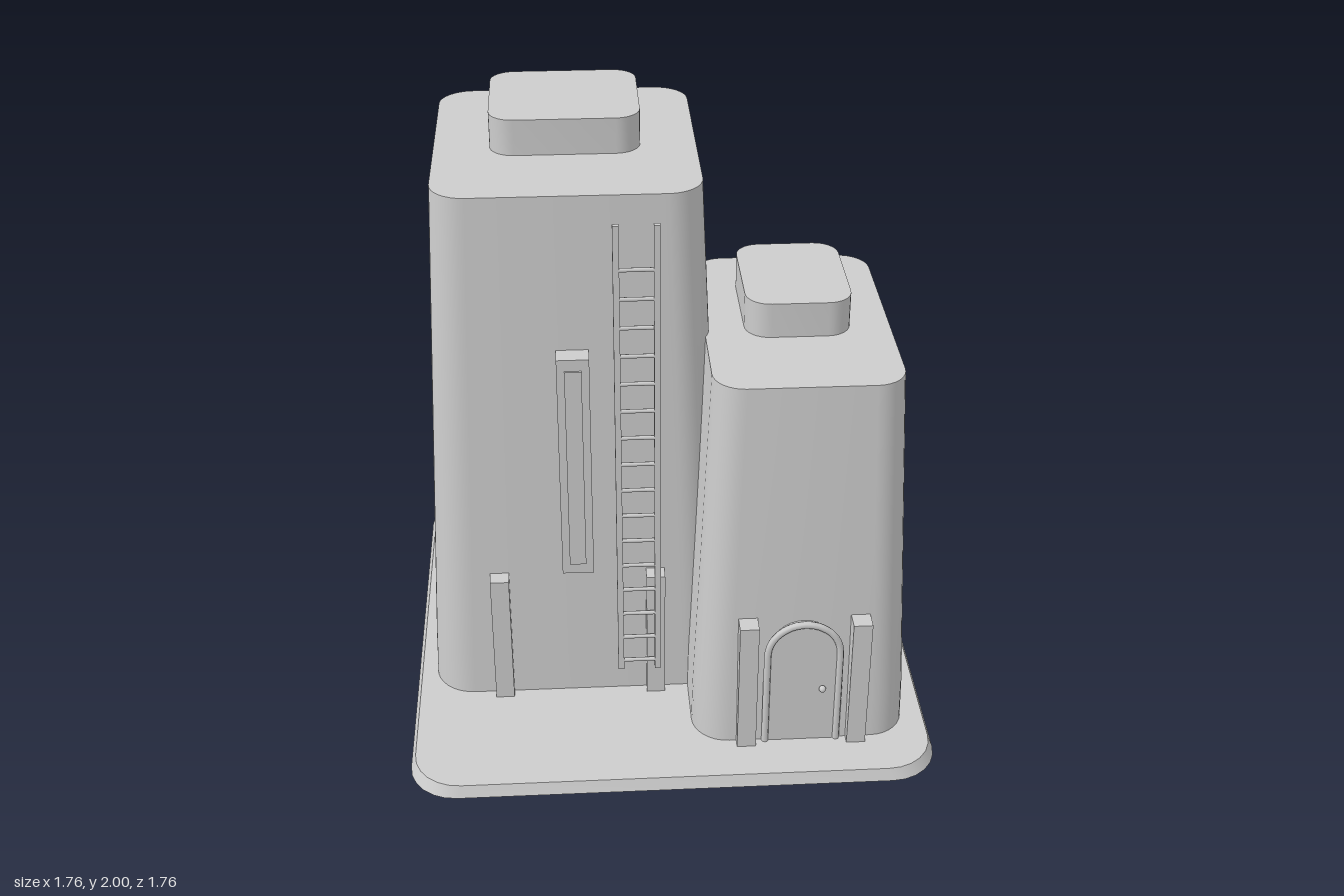
import * as THREE from 'three';
import { toCreasedNormals } from 'three/addons/utils/BufferGeometryUtils.js';

const plaster = new THREE.MeshStandardMaterial({ color: 0xcccccc });
plaster.name = 'plaster';

function add(parent, name, geometry, x = 0, y = 0, z = 0) {
  const mesh = new THREE.Mesh(geometry, plaster);
  mesh.name = name;
  mesh.position.set(x, y, z);
  parent.add(mesh);
  return mesh;
}

// Rounded rectangle (half sizes) drawn up through levels of [height, scale]
function roundedBlock(hx, hz, r, levels, segments = 4) {
  const s = new THREE.Shape();
  s.absarc(hx - r, hz - r, r, 0, Math.PI / 2);
  s.absarc(r - hx, hz - r, r, Math.PI / 2, Math.PI);
  s.absarc(r - hx, r - hz, r, Math.PI, Math.PI * 1.5);
  s.absarc(hx - r, r - hz, r, Math.PI * 1.5, Math.PI * 2);
  const steps = levels.length - 1;
  const g = new THREE.ExtrudeGeometry(s, { depth: steps, steps, bevelEnabled: false, curveSegments: segments });
  g.rotateX(-Math.PI / 2);
  const p = g.attributes.position;
  for (let i = 0; i < p.count; i++) {
    const [y, k] = levels[Math.round(p.getY(i))];
    p.setXYZ(i, p.getX(i) * k, y, p.getZ(i) * k);
  }
  return toCreasedNormals(g, 0.6);
}

// Arched outline, half width w, from the floor to the springing line
function archPoints(w, floor, spring) {
  const pts = [new THREE.Vector2(w, floor)];
  for (let i = 0; i <= 16; i++) {
    const a = (Math.PI * i) / 16;
    pts.push(new THREE.Vector2(Math.cos(a) * w, spring + Math.sin(a) * w));
  }
  pts.push(new THREE.Vector2(-w, floor));
  return pts;
}

export function createModel() {
  const model = new THREE.Group();
  model.name = 'desertHouse';

  add(model, 'basePlate', roundedBlock(0.88, 0.88, 0.16, [[0, 1], [0.04, 0.982]], 3));

  // Tapering towers with their roof caps
  const taper = (top) => [[0.03, 1], [0.2, 0.99], [top, 0.84]];
  add(model, 'tallTower', roundedBlock(0.505, 0.545, 0.135, taper(1.88)), -0.305, 0, -0.155);
  add(model, 'tallTowerCap', roundedBlock(0.243, 0.222, 0.08, [[1.87, 1], [2, 1]]), -0.305, 0, -0.245);
  add(model, 'shortTower', roundedBlock(0.36, 0.545, 0.12, taper(1.36)), 0.43, 0, 0.15);
  add(model, 'shortTowerCap', roundedBlock(0.172, 0.222, 0.08, [[1.35, 1], [1.48, 1]]), 0.43, 0, 0.06);

  // Square posts standing against the front walls
  for (const [x, z] of [[-0.568, 0.39], [-0.042, 0.39], [0.245, 0.695], [0.615, 0.695]]) {
    add(model, 'wallPost', new THREE.BoxGeometry(0.063, 0.49, 0.066), x, 0.285, z);
  }

  // Tall slit window: frame with a thin pane
  const slit = new THREE.Group();
  slit.name = 'slitWindow';
  slit.position.set(-0.302, 0.95, 0.345);
  model.add(slit);
  add(slit, 'windowFrame', new THREE.BoxGeometry(0.105, 0.82, 0.1));
  add(slit, 'windowPane', new THREE.BoxGeometry(0.055, 0.74, 0.008), 0, 0, 0.053);

  // Ladder
  const ladder = new THREE.Group();
  ladder.name = 'ladder';
  ladder.position.set(-0.1, 0, 0.436);
  model.add(ladder);
  for (const side of [-1, 1]) {
    add(ladder, 'ladderRail', new THREE.BoxGeometry(0.02, 1.68, 0.016), side * 0.063, 1, 0);
  }
  const rung = new THREE.CylinderGeometry(0.007, 0.007, 0.126, 8).rotateZ(Math.PI / 2);
  for (let i = 0; i < 16; i++) add(ladder, 'ladderRung', rung, 0, 0.195 + i * 0.0997, 0);

  // Arched door
  const door = new THREE.Group();
  door.name = 'archedDoor';
  door.position.set(0.43, 0, 0.7);
  model.add(door);
  const panel = new THREE.ExtrudeGeometry(new THREE.Shape(archPoints(0.115, 0.04, 0.4)), { depth: 0.05, bevelEnabled: false });
  add(door, 'doorPanel', toCreasedNormals(panel, 0.6), 0, 0, -0.05);
  const path = new THREE.CurvePath();
  const pts = archPoints(0.12, 0.04, 0.4).map((p) => new THREE.Vector3(p.x, p.y, 0));
  for (let i = 1; i < pts.length; i++) path.add(new THREE.LineCurve3(pts[i - 1], pts[i]));
  add(door, 'doorFrame', new THREE.TubeGeometry(path, 72, 0.012, 8), 0, 0, -0.002);
  add(door, 'doorKnob', new THREE.SphereGeometry(0.012, 12, 8), 0.065, 0.26, 0.01);

  return model;
}
